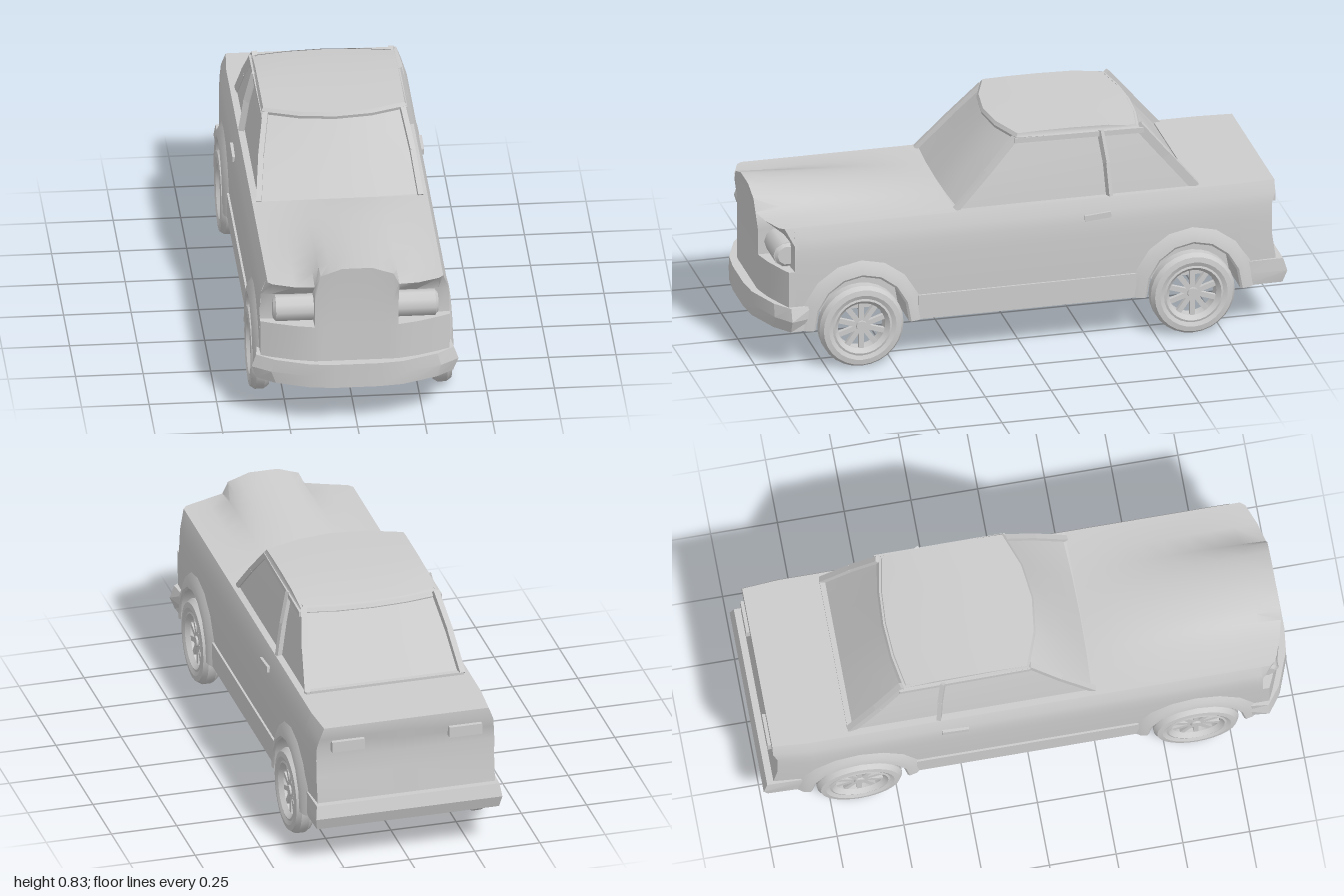
import * as THREE from 'three';
import { toCreasedNormals } from 'three/addons/utils/BufferGeometryUtils.js';

const mat = new THREE.MeshStandardMaterial({ color: 0xcccccc, side: THREE.DoubleSide });
const BELT = 0.565, SILL = 0.165, AXLES = [-0.64, 0.62], ARCH = 0.184, ARCH_RISE = 1.1;

function add(parent, name, geo, x = 0, y = 0, z = 0) {
  const m = new THREE.Mesh(geo, mat);
  m.name = name;
  m.position.set(x, y, z);
  parent.add(m);
  return m;
}

// Surface through rows of [x, y, z] points, leaving out collapsed triangles
function sheet(rows, crease = 0.5) {
  const n = rows[0].length, points = rows.flat(), index = [];
  const v = points.map((p) => new THREE.Vector3(...p));
  const tri = (...t) => {
    if (new THREE.Triangle(...t.map((i) => v[i])).getArea() > 1e-7) index.push(...t);
  };
  for (let i = 0; i < rows.length - 1; i++) {
    for (let j = 0; j < n - 1; j++) {
      const a = i * n + j, b = a + n;
      tri(a, a + 1, b + 1);
      tri(a, b + 1, b);
    }
  }
  const g = new THREE.BufferGeometry();
  g.setAttribute('position', new THREE.Float32BufferAttribute(points.flat(), 3));
  g.setIndex(index);
  return toCreasedNormals(g, crease);
}

// Square bar between two points
function bar(parent, name, a, b, w, h) {
  const p = new THREE.Vector3(...a), q = new THREE.Vector3(...b);
  const m = add(parent, name, new THREE.BoxGeometry(w, h, p.distanceTo(q) + 0.004));
  m.position.copy(p).add(q).multiplyScalar(0.5);
  m.lookAt(q);
}

// Half width of the body side at height y
const SIDE = [[0.165, 0.345], [0.26, 0.35], [0.45, 0.352], [0.51, 0.347], [0.565, 0.325]];
function sideX(y) {
  for (let i = 1; i < SIDE.length; i++) {
    const [y0, x0] = SIDE[i - 1], [y1, x1] = SIDE[i];
    if (y <= y1) return x0 + (x1 - x0) * (y - y0) / (y1 - y0);
  }
  return 0.325;
}

// Main body: cross-sections along z, lower edge rising over the wheels
function bodyGeometry() {
  const stations = [[-0.96, SILL]];
  for (const c of AXLES) {
    for (let k = 0; k <= 12; k++) {
      const a = Math.PI * (1 - k / 12);
      stations.push([c + ARCH * Math.cos(a), SILL + ARCH * ARCH_RISE * Math.sin(a)]);
    }
    if (c < 0) stations.push([-0.2, SILL], [0.2, SILL], [0.26, SILL]);
  }
  stations.push([0.87, SILL]);
  const rows = stations.map(([z, b]) => {
    const taper = z < -0.95 ? 0.97 : 1;
    const half = [[0, SILL, z], [0.2, SILL, z], [0.2, b, z], [sideX(b) * taper, b, z]];
    for (const level of [0.26, 0.36, 0.43, 0.48, 0.52, BELT]) {
      const y = Math.max(b, level);
      const tuck = z < -0.95 && level > 0.3 && level < 0.5 ? 0.015 : 0;
      half.push([sideX(y) * taper, y, z + tuck]);
    }
    half.push([0, z > 0.25 ? 0.54 : BELT, z]);
    return [...half, ...half.slice(0, -1).reverse().map(([x, y, w]) => [-x, y, w])];
  });
  const cap = (row) => row.map(([, y, z]) => [0, y, z]);
  return sheet([cap(rows[0]), ...rows, cap(rows.at(-1))]);
}

// Bonnet with raised centre, running down into grille, lamp pockets and front panel
const noseZ = (x) => 0.975 - 0.065 * Math.max(0, (x - 0.14) / 0.2) ** 1.5;
function noseGeometry() {
  // x, bulge height factor at the front, pocket depth position (0 = none)
  const cols = [[0.36, 0, 0.85], [0.35, 0, 0.872], [0.31, 0, 0.876], [0.23, 0, 0.88], [0.157, 0.08, 0.88],
    [0.155, 0.12, 0], [0.135, 0.65, 0], [0.095, 0.82, 0], [0.055, 1, 0], [0, 1, 0]];
  const half = cols.map(([x, bulge, pocket], i) => {
    const f = i === 0 ? 0.85 : noseZ(x), p = pocket || f, pts = [];
    const px = (y) => (i < 2 ? sideX(y) : x);
    const wide = Math.cos(Math.min(1, x / 0.32) * Math.PI / 2) ** 2;
    for (let k = 0; k <= 8; k++) {
      const t = k / 8;
      const rise = wide + (bulge - wide) * t ** 3;
      pts.push([px(BELT), BELT + 0.078 * rise * t ** 0.8, 0.25 + (f - 0.25) * t]);
    }
    const low = i === 0 ? f : f - 0.01;
    for (const [y, z] of [[0.5, pocket ? p : low], [0.4, pocket ? p : low], [0.4, low], [0.25, low]]) {
      pts.push([px(y), y, z]);
    }
    return pts;
  });
  const mirrored = half.slice(0, -1).reverse().map((c) => c.map(([x, y, z]) => [-x, y, z]));
  const all = [...half, ...mirrored];
  return sheet(half[0].map((_, r) => all.map((c) => c[r])), 0.8);
}

// Bumper wrapped round one end; s = 1 front, -1 rear
function bumperGeometry(s) {
  const plan = s > 0
    ? [[0.357, 0.8], [0.366, 0.89], [0.3, 0.94], [0.17, 0.99], [0.08, 1], [0, 1]]
    : [[0.353, 0.83], [0.35, 0.985], [0.17, 0.985], [0, 0.985]];
  const full = [...plan, ...plan.slice(0, -1).reverse().map(([x, z]) => [-x, z])];
  const ring = (y, o) => full.map(([x, z], i) => {
    const end = i === 0 || i === full.length - 1;
    const out = end ? 0 : o * (s > 0 ? 1 : 0.4);
    return [s * (x + out * Math.max(-1, Math.min(1, x / 0.35))), y, s * (z + (s < 0 && !end ? o * 0.85 : 0))];
  });
  const inner = (y) => full.map(([x]) => [s * x * 0.96, y, s * 0.82]);
  return sheet([inner(0.26), ring(0.26, 0), ring(0.212, 0.017), ring(SILL, -0.003), inner(SILL)], 0.3);
}

// Cabin outline at height t (0 belt, 1 roof), grown by g
const FRACS = [-1, -0.5, 0, 0.5, 1];
function cabinPoint(f, end, t, g = 0) {
  const hw = 0.312 - 0.048 * t + 0.02 * t * (1 - t) + g;
  const z = end > 0
    ? 0.26 - 0.19 * t - (0.01 + 0.055 * t) * f * f + g
    : -0.67 + 0.18 * t + 0.03 * t * f * f - g;
  return [f * hw, BELT + 0.25 * t, z];
}
function cabinRing(t, g) {
  const ring = [...FRACS.map((f) => cabinPoint(f, 1, t, g)), ...FRACS.map((f) => cabinPoint(-f, -1, t, g))];
  return [...ring, ring[0]];
}
function roofGeometry() {
  const at = (g, y) => cabinRing(1, g).map(([x, , z]) => [x, z < -0.4 ? y - 0.018 : y, z]);
  const top = at(-0.002, 0.828);
  const shrunk = top.map(([x, y, z]) => [x, y + (z < -0.4 ? 0.016 : 0.002), -0.2 + (z + 0.2) * 0.55]);
  const seam = top.map(([x]) => [x, 0.83, -0.2]);
  const under = top.map(([x]) => [x, 0.8, -0.2]);
  return sheet([under, at(0.002, 0.803), at(0.005, 0.815), top, shrunk, seam]);
}

function makeWheel() {
  const wheel = new THREE.Group();
  wheel.name = 'wheel';
  const turned = (pts) => {
    const g = new THREE.LatheGeometry(pts.map((p) => new THREE.Vector2(...p)), 28);
    return toCreasedNormals(g.rotateZ(-Math.PI / 2), 0.5);
  };
  add(wheel, 'tyre', turned([[0.112, -0.03], [0.128, -0.037], [0.148, -0.034], [0.16, -0.016], [0.16, 0.016],
    [0.148, 0.034], [0.128, 0.037], [0.112, 0.03], [0.112, -0.03]]));
  add(wheel, 'rim', turned([[0.09, -0.028], [0.114, -0.03], [0.114, 0.03], [0.105, 0.033], [0.09, 0.016], [0.09, -0.028]]));
  add(wheel, 'hub', new THREE.CylinderGeometry(0.02, 0.024, 0.03, 12).rotateZ(-Math.PI / 2), 0.008);
  for (let i = 0; i < 10; i++) {
    const spoke = new THREE.BoxGeometry(0.016, 0.08, 0.019).translate(0.008, 0.054, 0);
    add(wheel, 'spoke', spoke).rotation.x = i * Math.PI / 5;
  }
  return wheel;
}

// Everything that exists once on each side
function makeSide() {
  const side = new THREE.Group();
  for (const z of AXLES) {
    const wheel = makeWheel();
    wheel.position.set(0.338, 0.16, z);
    side.add(wheel);
    // Flared arch lip running inward as the wheel well
    const lip = [[0.238, 0.348], [0.212, 0.366], [0.186, 0.372], [0.178, 0.366], [0.178, 0.2]];
    const arch = new THREE.LatheGeometry(lip.map((p) => new THREE.Vector2(...p)), 8, Math.PI, Math.PI);
    add(side, 'wheelArch', toCreasedNormals(arch.rotateZ(-Math.PI / 2), 0.5), 0, SILL, z).scale.y = ARCH_RISE;
  }
  add(side, 'sill', new THREE.BoxGeometry(0.03, 0.095, 0.83), 0.343, 0.2125, -0.01);
  add(side, 'doorHandle', new THREE.BoxGeometry(0.02, 0.022, 0.1), 0.345, 0.502, -0.28).rotation.x = 0.08;
  add(side, 'headlight', new THREE.CylinderGeometry(0.05, 0.05, 0.14, 10).rotateZ(Math.PI / 2), 0.226, 0.45, 0.89);
  add(side, 'headlightEnd', new THREE.CylinderGeometry(0.05, 0.036, 0.012, 10).rotateZ(-Math.PI / 2).scale(-1, 1, -1)
    .rotateY(Math.PI).rotateZ(Math.PI), 0.3, 0.45, 0.89);
  add(side, 'tailLight', new THREE.BoxGeometry(0.125, 0.042, 0.03), 0.225, 0.488, -0.957);
  // Window pillars follow the curved cabin side in two pieces
  const middle = (t) => {
    const a = cabinPoint(1, 1, t), b = cabinPoint(1, -1, t);
    return a.map((v, i) => v + (b[i] - v) * (0.635 + 0.042 * t));
  };
  for (const [t0, t1] of [[0, 0.5], [0.5, 0.97]]) {
    bar(side, 'frontPillar', cabinPoint(0.97, 1, t0, -0.004), cabinPoint(0.97, 1, t1, -0.004), 0.02, 0.02);
    bar(side, 'middlePillar', middle(t0), middle(t1), 0.016, 0.022);
    bar(side, 'rearPillar', cabinPoint(0.97, -1, t0, -0.008), cabinPoint(0.97, -1, t1, -0.008), 0.022, 0.034);
  }
  // Rails framing the side and rear glass
  bar(side, 'roofRail', cabinPoint(1, 1, 0.95, -0.004), cabinPoint(1, -1, 0.92, -0.004), 0.016, 0.02);
  bar(side, 'rearWindowSill', [0, BELT, -0.665], [0.3, BELT, -0.665], 0.02, 0.02);
  return side;
}

export function createModel() {
  const car = new THREE.Group();
  car.name = 'car';
  add(car, 'body', bodyGeometry());
  add(car, 'bonnetAndNose', noseGeometry());
  add(car, 'frontBumper', bumperGeometry(1));
  add(car, 'rearBumper', bumperGeometry(-1));
  add(car, 'windows', sheet([0, 0.5, 1].map((t) => cabinRing(t, -0.012))));
  add(car, 'roof', roofGeometry());
  const left = makeSide(), right = makeSide();
  left.name = 'leftSide';
  right.name = 'rightSide';
  right.scale.x = -1;
  car.add(left, right);
  return car;
}
